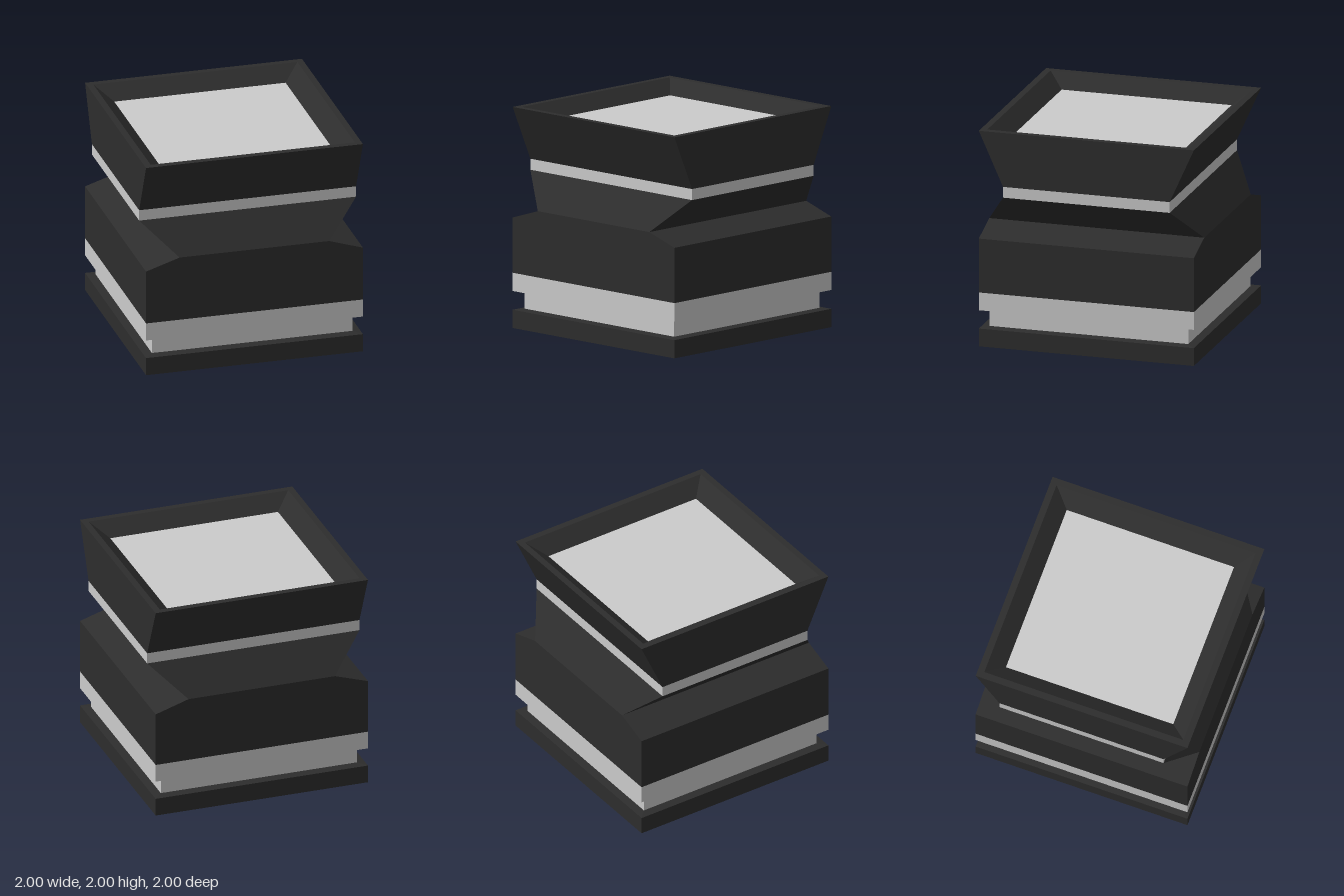
import * as THREE from 'three';

const DARK = new THREE.MeshStandardMaterial({ color: 0x2d2d2d, flatShading: true });
const LIGHT = new THREE.MeshStandardMaterial({ color: 0xcccccc, flatShading: true });

// Joins rectangular sections [half width x, height y, half depth z] with flat faces.
function loft(name, material, sections, { capStart = false, capEnd = false } = {}) {
  const positions = [];
  const quad = (a, b, c, d) => positions.push(...a, ...b, ...c, ...a, ...c, ...d);
  const rings = sections.map(([x, y, z]) => [[-x, y, z], [x, y, z], [x, y, -z], [-x, y, -z]]);
  for (let i = 0; i + 1 < rings.length; i++) {
    for (let k = 0; k < 4; k++) {
      const n = (k + 1) % 4;
      quad(rings[i][k], rings[i][n], rings[i + 1][n], rings[i + 1][k]);
    }
  }
  if (capStart) quad(...[...rings[0]].reverse());
  if (capEnd) quad(...rings[rings.length - 1]);
  const geometry = new THREE.BufferGeometry();
  geometry.setAttribute('position', new THREE.Float32BufferAttribute(positions, 3));
  geometry.computeVertexNormals();
  const mesh = new THREE.Mesh(geometry, material);
  mesh.name = name;
  return mesh;
}

export function createModel() {
  const group = new THREE.Group();
  group.name = 'pedestal';
  const groove = 0.925; // half width inside the groove
  const neckX = 0.69;   // half width at the waist
  const neckZ = 0.775;  // half depth at the upper band

  group.add(
    // Foot slab, its top sloping up into the groove
    loft('footSlab', DARK, [[1, 0, 1], [1, 0.165, 1], [groove, 0.175, groove]], { capStart: true }),
    // Recessed light band
    loft('grooveBand', LIGHT, [[groove, 0.175, groove], [groove, 0.325, groove]]),
    // Dark underside of the lower band
    loft('grooveCeiling', DARK, [[groove, 0.325, groove], [1, 0.335, 1]]),
    loft('lowerBand', LIGHT, [[1, 0.335, 1], [1, 0.5, 1]]),
    // Body with shoulders closing in along x only
    loft('body', DARK, [[1, 0.5, 1], [1, 1, 1], [neckX, 1.1, 1]]),
    // Neck widens along x while it narrows along z
    loft('neck', DARK, [[neckX, 1.1, 1], [1, 1.4, neckZ]]),
    loft('upperBand', LIGHT, [[1, 1.4, neckZ], [1, 1.5, neckZ]]),
    // Flared head, flat rim and sloping inner walls
    loft('head', DARK, [[1, 1.5, neckZ], [1, 2, 1], [0.94, 2, 0.94], [0.79, 1.88, 0.79]]),
    // Light floor of the tray
    loft('trayFloor', LIGHT, [[0.79, 1.88, 0.79]], { capEnd: true })
  );
  return group;
}
